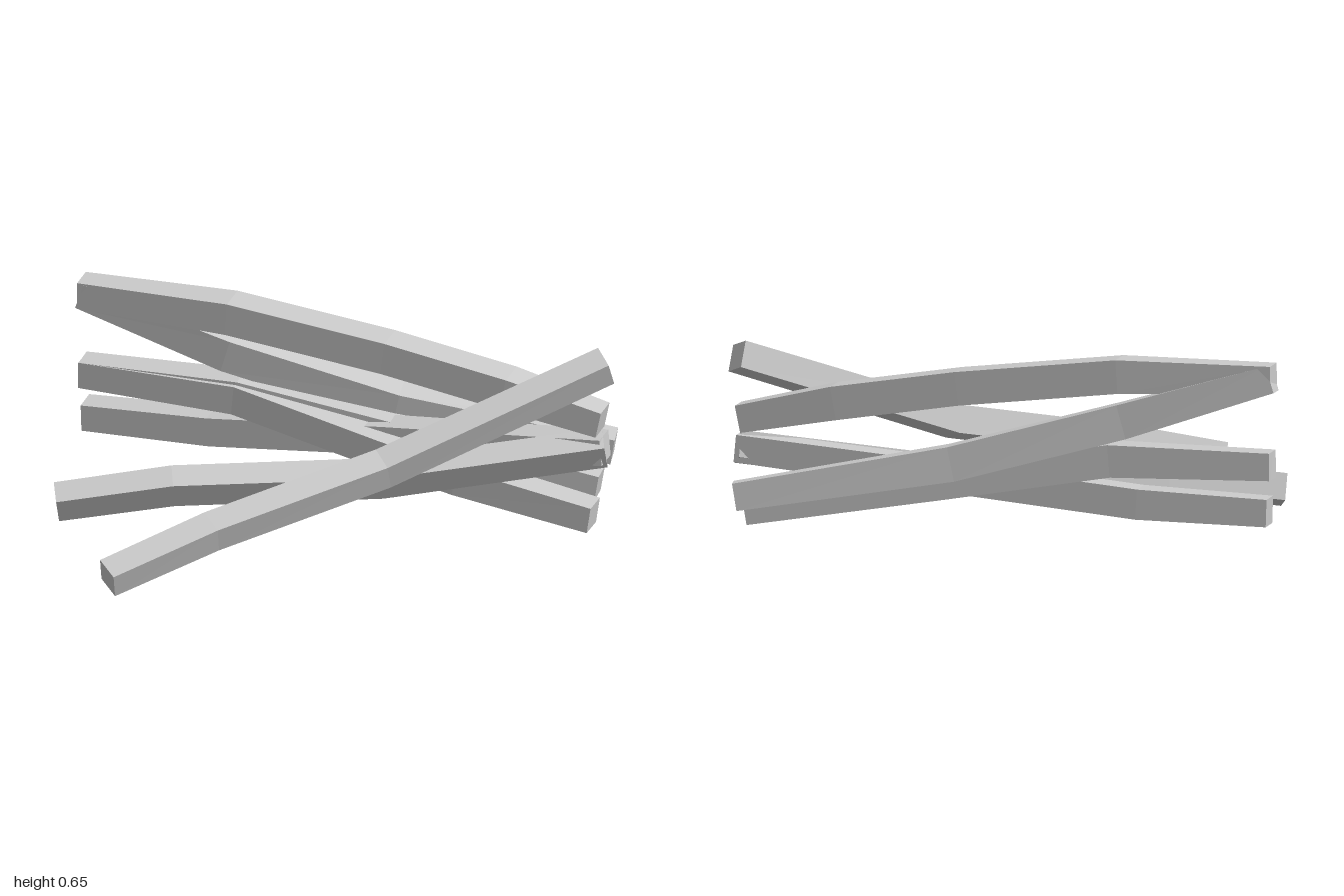
import * as THREE from 'three';

const END = 0.049; // half the thickness at the ends of a stick

// Square-section stick following a bent centre line, closed at both ends.
// mid is half the thickness between the ends, roll turns the section about the line.
function stickGeometry({ points, mid, roll }) {
  const path = points.map(p => new THREE.Vector3(...p));
  const last = path.length - 1;
  const up = new THREE.Vector3(0, 1, 0);
  const corners = [[1, 1], [-1, 1], [-1, -1], [1, -1]];

  // one square ring per point, across the average direction of its neighbours
  const rings = path.map((p, i) => {
    const dir = new THREE.Vector3();
    if (i > 0) dir.add(p.clone().sub(path[i - 1]).normalize());
    if (i < last) dir.add(path[i + 1].clone().sub(p).normalize());
    dir.normalize();
    const side = dir.clone().cross(up).normalize().applyAxisAngle(dir, THREE.MathUtils.degToRad(roll));
    const top = side.clone().cross(dir);
    const half = i === 0 || i === last ? END : mid;
    return corners.map(([s, t]) =>
      p.clone().addScaledVector(side, s * half).addScaledVector(top, t * half));
  });

  const verts = [];
  const quad = (a, b, c, d) => {
    for (const v of [a, b, c, a, c, d]) verts.push(v.x, v.y, v.z);
  };
  for (let i = 0; i < last; i++) {
    for (let j = 0; j < 4; j++) {
      const k = (j + 1) % 4;
      quad(rings[i][j], rings[i + 1][j], rings[i + 1][k], rings[i][k]);
    }
  }
  quad(...rings[0]);
  quad(...rings[last].slice().reverse());

  const geometry = new THREE.BufferGeometry();
  geometry.setAttribute('position', new THREE.Float32BufferAttribute(verts, 3));
  geometry.computeVertexNormals();
  return geometry;
}

// Centre lines, each running from the -x end to the +x end.
const STICKS = {
  frontLeaningStick: {
    roll: 18, mid: 0.051,
    points: [[-0.48, 0.095, 0.75], [-0.19, 0.19, 0.46], [0.3, 0.31, 0.02], [0.965, 0.592, -0.465]],
  },
  frontLowStick: {
    roll: 21, mid: 0.051,
    points: [[-0.855, 0.085, 0.195], [-0.47, 0.14, 0.05], [0.22, 0.16, -0.2], [0.96, 0.27, -0.467]],
  },
  topStick: {
    roll: 0, mid: 0.06,
    points: [[-0.985, 0.59, -0.47], [-0.43, 0.583, -0.475], [0.15, 0.518, -0.475], [0.6, 0.447, -0.47], [0.95, 0.375, -0.47]],
  },
  rearStick: {
    roll: 3, mid: 0.062,
    points: [[-0.98, 0.59, -0.47], [-0.45, 0.425, -0.51], [0.15, 0.265, -0.6], [0.9, 0.14, -0.75]],
  },
  middleRearStick: {
    roll: 0, mid: 0.058,
    points: [[-0.98, 0.28, -0.47], [-0.4, 0.282, -0.482], [0.2, 0.185, -0.525], [0.9, 0.067, -0.587]],
  },
  middleFrontStick: {
    roll: 0, mid: 0.054,
    points: [[-0.98, 0.28, -0.47], [-0.4, 0.275, -0.46], [0.15, 0.175, -0.405], [0.45, 0.125, -0.378], [0.95, 0.05, -0.367]],
  },
  bottomStick: {
    roll: 0, mid: 0.054,
    points: [[-0.97, 0.115, -0.47], [-0.5, 0.13, -0.475], [0.15, 0.195, -0.475], [0.96, 0.27, -0.467]],
  },
};

export function createModel() {
  const group = new THREE.Group();
  group.name = 'stickPile';
  const material = new THREE.MeshStandardMaterial({ color: 0xcccccc, flatShading: true });
  for (const [name, shape] of Object.entries(STICKS)) {
    const stick = new THREE.Mesh(stickGeometry(shape), material);
    stick.name = name;
    group.add(stick);
  }
  return group;
}
